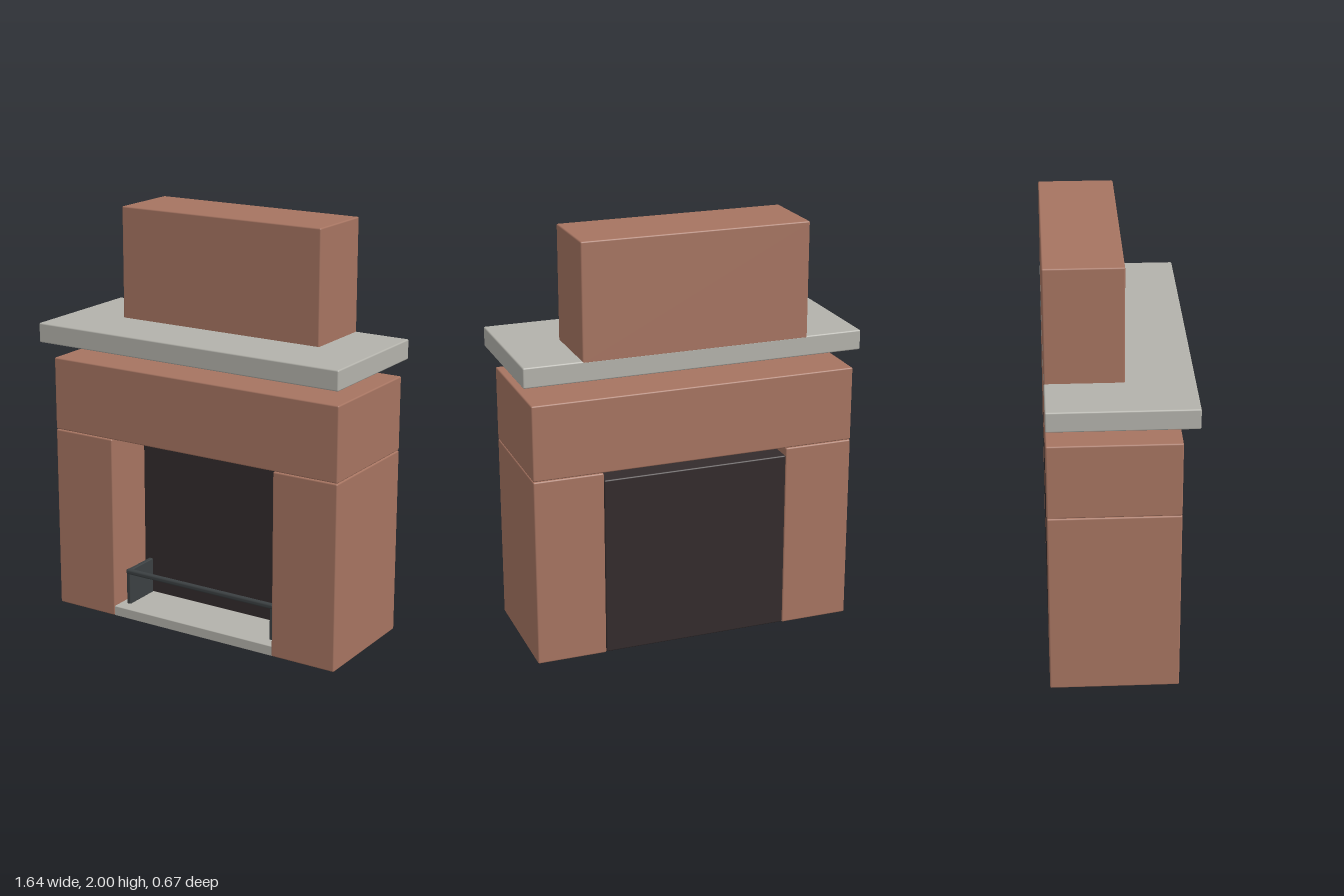
import * as THREE from 'three';
import { RoundedBoxGeometry } from 'three/addons/geometries/RoundedBoxGeometry.js';

const makeMaterial = (name, color) => {
  const m = new THREE.MeshStandardMaterial({ color });
  m.name = name;
  return m;
};

export function createModel() {
  const brick = makeMaterial('brick', 0xa67461);
  const stone = makeMaterial('stone', 0xb3b2ab);
  const soot = makeMaterial('soot', 0x332b2c);
  const iron = makeMaterial('iron', 0x3b4042);

  const group = new THREE.Group();
  group.name = 'fireplace';

  // Softly bevelled block given by its extents on each axis
  const block = (name, material, [x0, x1], [y0, y1], [z0, z1], bevel = 0.007) => {
    const geometry = new RoundedBoxGeometry(x1 - x0, y1 - y0, z1 - z0, 2, bevel);
    const mesh = new THREE.Mesh(geometry, material);
    mesh.name = name;
    mesh.position.set((x0 + x1) / 2, (y0 + y1) / 2, (z0 + z1) / 2);
    group.add(mesh);
  };

  const back = -0.335;

  // Brick surround
  block('rightPillar', brick, [-0.787, -0.452], [0, 0.911], [back, 0.265]);
  block('leftPillar', brick, [0.452, 0.787], [0, 0.911], [back, 0.265]);
  block('lintel', brick, [-0.787, 0.787], [0.913, 1.274], [back, 0.265]);

  // Mantel shelf floating above the lintel, with the chimney breast on it
  block('mantelShelf', stone, [-0.82, 0.82], [1.36, 1.456], [back, 0.335]);
  block('chimneyBreast', brick, [-0.545, 0.545], [1.445, 2], [back, 0.022]);

  // Firebox block and hearth slab
  block('firebox', soot, [-0.452, 0.452], [0.003, 0.875], [back, 0]);
  block('hearth', stone, [-0.456, 0.456], [0, 0.05], [-0.325, 0.263], 0.004);

  // Grate: two side plates joined by a front rail
  for (const [name, s] of [['rightGratePlate', -1], ['leftGratePlate', 1]]) {
    const x = s * 0.413;
    block(name, iron, [x - 0.011, x + 0.011], [0.045, 0.228], [0, 0.2], 0.005);
  }
  block('grateRail', iron, [-0.425, 0.425], [0.206, 0.232], [0.18, 0.206], 0.01);

  return group;
}
